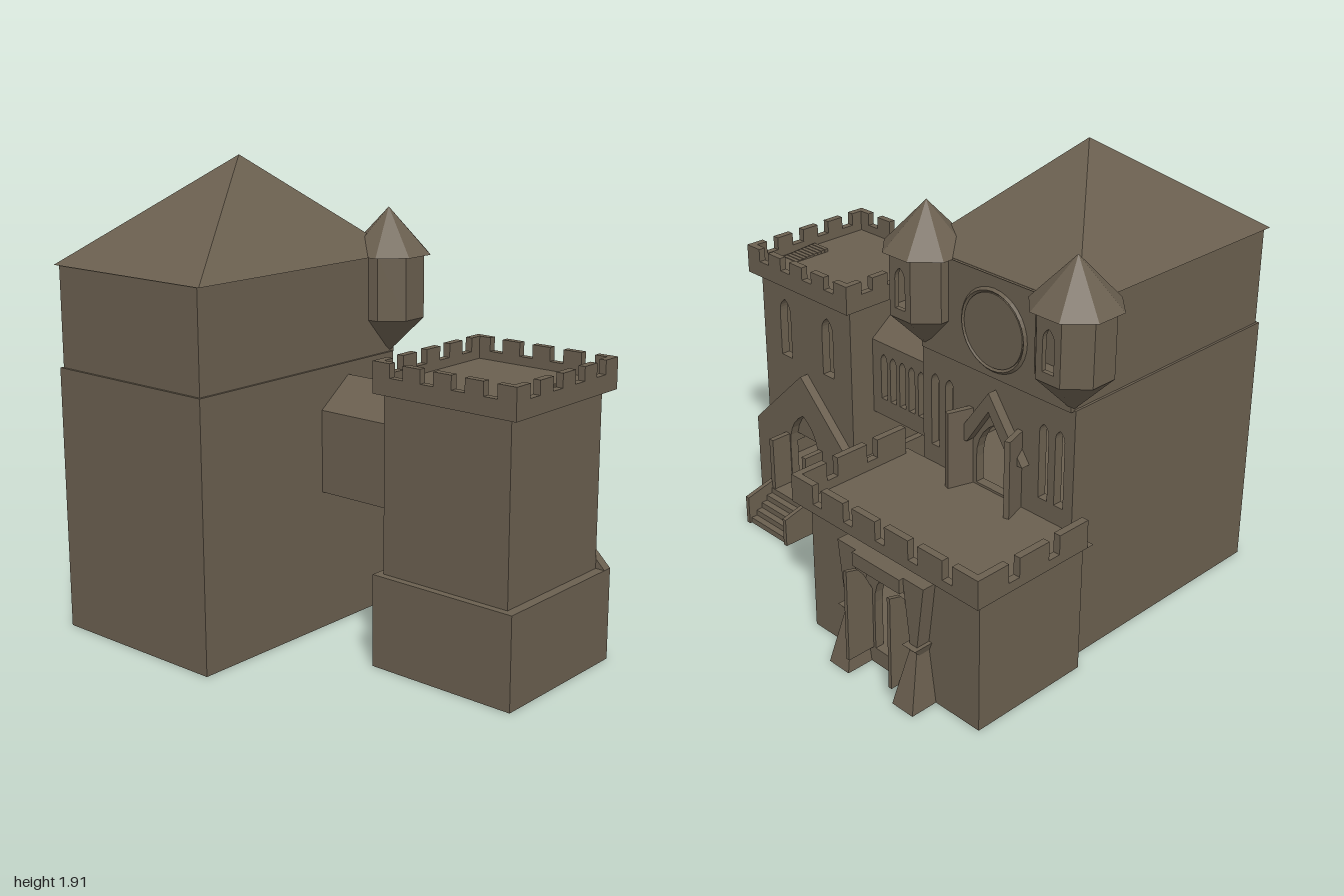
import * as THREE from 'three';

const stone = new THREE.MeshStandardMaterial({ color: 0x6a5f4f });
stone.name = 'stone';

function add(parent, name, geometry) {
  const flat = geometry.index ? geometry.toNonIndexed() : geometry;
  flat.computeVertexNormals();
  const mesh = new THREE.Mesh(flat, stone);
  mesh.name = name;
  parent.add(mesh);
  return mesh;
}

function box(parent, name, x0, x1, y0, y1, z0, z1) {
  const g = new THREE.BoxGeometry(x1 - x0, y1 - y0, z1 - z0);
  g.translate((x0 + x1) / 2, (y0 + y1) / 2, (z0 + z1) / 2);
  return add(parent, name, g);
}

// Box whose bottom and top rectangles [x0, x1, z0, z1] differ
function frustum(parent, name, y0, y1, bottom, top) {
  const g = new THREE.BoxGeometry(1, 1, 1);
  const p = g.attributes.position;
  for (let i = 0; i < p.count; i++) {
    const up = p.getY(i) > 0, r = up ? top : bottom;
    p.setXYZ(i, p.getX(i) > 0 ? r[1] : r[0], up ? y1 : y0, p.getZ(i) > 0 ? r[3] : r[2]);
  }
  return add(parent, name, g);
}

// Pointed arch opening: centre x, width, sill, peak
function arch([x, w, y0, y1]) {
  const h = w / 2, spring = y1 - w * 0.9, path = new THREE.Path();
  path.moveTo(x - h, y0);
  path.lineTo(x + h, y0);
  path.lineTo(x + h, spring);
  path.quadraticCurveTo(x + h, y1 - w * 0.3, x, y1);
  path.quadraticCurveTo(x - h, y1 - w * 0.3, x - h, spring);
  path.closePath();
  return path;
}

// Wall with an outline in x, y and arched openings
function wall(parent, name, outline, z0, z1, holes = []) {
  const s = new THREE.Shape(outline.map(([x, y]) => new THREE.Vector2(x, y)));
  s.holes = holes.map(arch);
  const g = new THREE.ExtrudeGeometry(s, { depth: z1 - z0, bevelEnabled: false, curveSegments: 5 });
  g.translate(0, 0, z0);
  return add(parent, name, g);
}
const rect = (x0, x1, y0, y1) => [[x0, y0], [x1, y0], [x1, y1], [x0, y1]];

// Hollow block: plain front and sides, back wall with openings
function room(parent, name, x0, x1, y0, y1, z0, z1, holes, t = 0.04) {
  box(parent, name + 'LeftWall', x1 - t, x1, y0, y1, z0, z1);
  box(parent, name + 'RightWall', x0, x0 + t, y0, y1, z0, z1);
  box(parent, name + 'FrontWall', x0 + t, x1 - t, y0, y1, z1 - t, z1);
  if (holes) wall(parent, name + 'BackWall', rect(x0 + t, x1 - t, y0, y1), z0, z0 + t, holes);
}

// Parapet run along x or z: low wall with evenly spaced merlons
function parapet(parent, alongX, a0, a1, b0, b1, y0, yGap, y1, count, gap) {
  const put = (name, s, e, ya, yb) => alongX
    ? box(parent, name, s, e, ya, yb, b0, b1)
    : box(parent, name, b0, b1, ya, yb, s, e);
  put('parapet', a0, a1, y0, yGap);
  const w = (a1 - a0 - gap * (count - 1)) / count;
  for (let i = 0; i < count; i++) {
    const s = a0 + i * (w + gap);
    put('merlon', s, s + w, yGap, y1);
  }
}

function hall(g) {
  const windows = [-0.79, -0.71, -0.21, -0.13].map(x => [x, 0.045, 0.66, 0.98]);
  room(g, 'hall', -0.86, -0.06, 0, 1.09, -0.22, 0.88,
    [...windows, [-0.46, 0.2, 0.59, 0.88], [-0.46, 0.2, 0.075, 0.45]]);
  box(g, 'hallFloor', -0.83, -0.09, 0.05, 0.07, -0.2, 0.85);
  box(g, 'hallUpperFloor', -0.83, -0.09, 0.56, 0.58, -0.19, 0.85);
  box(g, 'hallUpperStorey', -0.85, -0.07, 1.085, 1.505, -0.235, 0.87);
  frustum(g, 'hallRoof', 1.5, 1.91, [-0.87, -0.05, -0.24, 0.88], [-0.4605, -0.4595, 0.2595, 0.2605]);
  // Round window on the back
  const disc = new THREE.CylinderGeometry(0.15, 0.15, 0.012, 32);
  disc.rotateX(Math.PI / 2).translate(-0.46, 1.28, -0.235);
  add(g, 'roundWindow', disc);
  const ring = new THREE.TorusGeometry(0.16, 0.01, 4, 32);
  ring.translate(-0.46, 1.28, -0.235);
  add(g, 'roundWindowFrame', ring);
  // Balcony portal with gable and splayed side slabs
  wall(g, 'portalGable', [[-0.64, 0.78], [-0.575, 0.78], [-0.46, 0.95], [-0.345, 0.78], [-0.28, 0.78], [-0.46, 1.03]], -0.26, -0.22);
  for (const s of [-1, 1]) {
    const x = -0.46 + s * 0.145;
    const slab = box(g, 'portalSideSlab', -0.012, 0.012, 0.58, 0.91, -0.055, 0.055);
    slab.position.set(x, 0, -0.27);
    slab.rotation.y = -s * 0.3;
  }
}

function turret(parent, x) {
  const g = new THREE.Group();
  g.name = 'cornerTurret';
  g.position.set(x, 0, -0.215);
  parent.add(g);
  const cos = Math.cos(Math.PI / 8), half = 0.14 * Math.tan(Math.PI / 8);
  for (let k = 0; k < 8; k++) {
    const side = wall(g, 'turretWall', rect(-half, half, 1.24, 1.505), -0.14, -0.12,
      k === 0 ? [[0, 0.055, 1.28, 1.45]] : []);
    side.rotation.y = k * Math.PI / 4;
  }
  const cone = (name, top, bottom, y0, y1) => {
    const c = new THREE.CylinderGeometry(top / cos, bottom / cos, y1 - y0, 8);
    c.rotateY(Math.PI / 8).translate(0, (y0 + y1) / 2, 0);
    add(g, name, c);
  };
  cone('turretRoof', 0, 0.165, 1.5, 1.69);
  cone('turretCorbel', 0.14, 0.004, 1.09, 1.24);
}

function gatehouse(g) {
  room(g, 'gatehouse', -0.92, 0, 0, 0.53, -0.76, -0.22, [[-0.46, 0.2, 0.07, 0.46]]);
  box(g, 'gatehouseFloor', -0.89, -0.03, 0.05, 0.07, -0.74, -0.2);
  frustum(g, 'gatehouseCorbel', 0.53, 0.58, [-0.92, 0, -0.76, -0.22], [-0.97, 0.04, -0.82, -0.22]);
  parapet(g, true, -0.97, 0.04, -0.82, -0.79, 0.58, 0.62, 0.7, 6, 0.05);
  for (const x of [-0.97, 0.01])
    parapet(g, false, -0.82, -0.255, x, x + 0.03, 0.58, 0.62, 0.7, 3, 0.055);
  // Waisted buttresses and open door leaves
  for (const s of [-1, 1]) {
    const x = -0.46 + s * 0.18;
    const waist = [x - 0.018, x + 0.018, -0.82, -0.76];
    frustum(g, 'buttressFoot', 0, 0.24, [x - 0.055, x + 0.055, -0.88, -0.76], waist);
    frustum(g, 'buttressCollar', 0.22, 0.26, [x - 0.02, x + 0.02, -0.81, -0.76], [x - 0.035, x + 0.035, -0.845, -0.76]);
    frustum(g, 'buttressHead', 0.25, 0.53, waist, [x - 0.055, x + 0.055, -0.82, -0.76]);
    const d = -0.46 + s * 0.12;
    const leaf = wall(g, 'doorLeaf', [[0.76, 0.07], [0.885, 0.07], [0.885, 0.47], [0.83, 0.455], [0.8, 0.42], [0.76, 0.34]], -0.008, 0.008);
    leaf.rotation.y = Math.PI / 2;
    leaf.position.x = d;
  }
  box(g, 'gateLintel', -0.59, -0.33, 0.47, 0.53, -0.84, -0.76);
}

function bridge(g) {
  const x0 = -0.07, x1 = 0.39;
  box(g, 'bridgeBody', x0, x1, 0.58, 0.92, -0.06, 0.22);
  const windows = [];
  for (let i = 0; i < 6; i++) windows.push([0.025 + i * 0.057, 0.036, 0.66, 0.87]);
  wall(g, 'bridgeArcade', rect(x0, x1, 0.58, 0.92), -0.1, -0.06, windows);
  const roof = wall(g, 'bridgeRoof', [[-0.22, 0.92], [0.1, 0.92], [-0.06, 1.04]], x0, x1);
  roof.rotation.y = Math.PI / 2;
}

function tower(g) {
  room(g, 'towerBase', 0.35, 1, 0, 0.375, -0.22, 0.39, null);
  box(g, 'towerFloor', 0.37, 0.98, 0.11, 0.13, -0.24, 0.37);
  const door = [0.67, 0.19, 0.135, 0.5];
  wall(g, 'towerEntranceGable', [[0.35, 0], [1, 0], [1, 0.375], [0.675, 0.69], [0.35, 0.375]], -0.26, -0.22, [door]);
  room(g, 'towerShaft', 0.38, 0.96, 0.37, 1.09, -0.22, 0.36,
    [[0.53, 0.07, 0.73, 1.0], [0.81, 0.07, 0.73, 1.0], [0.67, 0.19, 0.375, 0.5]]);
  box(g, 'towerRoofDeck', 0.35, 1, 1.085, 1.12, -0.26, 0.39);
  for (const z of [-0.26, 0.36])
    parapet(g, true, 0.35, 1, z, z + 0.03, 1.12, 1.155, 1.21, 5, 0.06);
  for (const x of [0.35, 0.97])
    parapet(g, false, -0.26, 0.39, x, x + 0.03, 1.12, 1.155, 1.21, 5, 0.06);
  // Roof hatch
  for (let i = 0; i < 9; i++) {
    const z = -0.1 + i * 0.02;
    box(g, 'hatchStep', 0.87, 0.96, 1.12, 1.123 + i * 0.0015, z, z + 0.018);
  }
  // Entrance steps with sloping cheeks
  for (let i = 0; i < 5; i++)
    box(g, 'entranceStep', 0.55, 0.79, 0, 0.026 * (i + 1), -0.48 + i * 0.03, -0.25);
  for (const x of [0.53, 0.79]) {
    const cheek = wall(g, 'stairCheek', [[0.25, 0], [0.49, 0], [0.49, 0.13], [0.25, 0.19]], x, x + 0.02);
    cheek.rotation.y = Math.PI / 2;
    cheek.geometry.translate(0, 0, 0);
  }
  // Entrance posts, splayed inward toward the door
  frustum(g, 'entrancePost', 0.12, 0.375, [0.545, 0.57, -0.355, -0.25], [0.545, 0.57, -0.355, -0.25]);
  frustum(g, 'entrancePost', 0.12, 0.375, [0.77, 0.795, -0.355, -0.25], [0.77, 0.795, -0.355, -0.25]);
}

export function createModel() {
  const model = new THREE.Group();
  model.name = 'castle';
  const part = (name, build) => {
    const g = new THREE.Group();
    g.name = name;
    build(g);
    model.add(g);
  };
  part('greatHall', hall);
  part('turrets', g => [-0.84, -0.08].forEach(x => turret(g, x)));
  part('gatehouse', gatehouse);
  part('bridge', bridge);
  part('tower', tower);
  return model;
}
